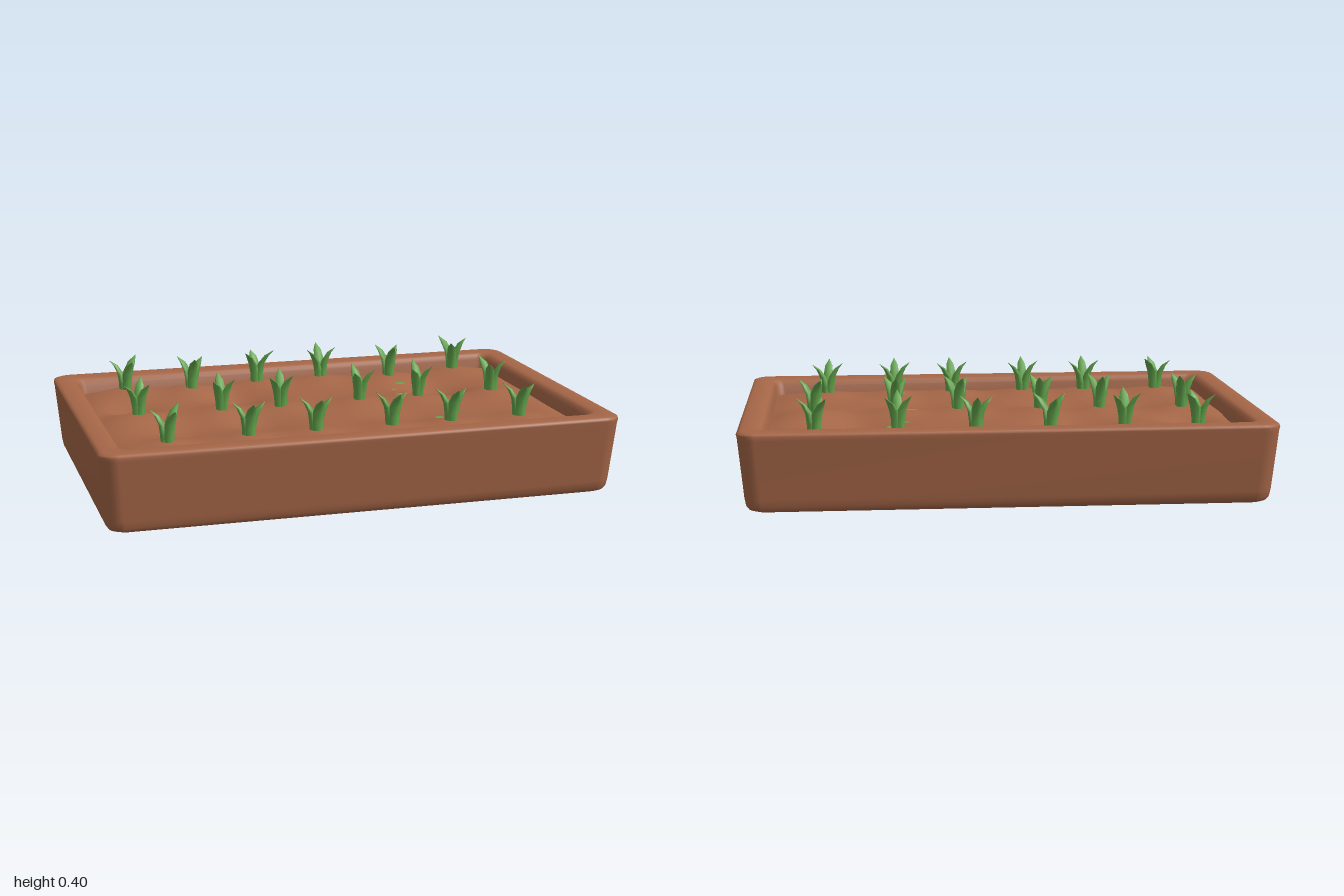
import * as THREE from 'three';

const clay = new THREE.MeshStandardMaterial({ color: 0xa56647 });
clay.name = 'terracotta';
const green = new THREE.MeshStandardMaterial({ color: 0x63a54c, side: THREE.DoubleSide });
green.name = 'leafGreen';

// Skin a list of closed rings (arrays of [x, y, z]) into one smooth surface
function loft(rings) {
  const n = rings[0].length;
  const index = [];
  for (let r = 0; r < rings.length - 1; r++) {
    for (let i = 0; i < n; i++) {
      const a = r * n + i, b = r * n + (i + 1) % n;
      index.push(a, a + n, b, b, a + n, b + n);
    }
  }
  const g = new THREE.BufferGeometry();
  g.setAttribute('position', new THREE.Float32BufferAttribute(rings.flat(2), 3));
  g.setIndex(index);
  g.computeVertexNormals();
  return g;
}

// Rounded rectangle ring at height y
function roundedRing([hx, hz, y, radius]) {
  const steps = 6, ring = [];
  [[1, 1], [-1, 1], [-1, -1], [1, -1]].forEach(([sx, sz], corner) => {
    for (let i = 0; i <= steps; i++) {
      const a = (corner + i / steps) * Math.PI / 2;
      ring.push([sx * (hx - radius) + radius * Math.cos(a), y, sz * (hz - radius) + radius * Math.sin(a)]);
    }
  });
  return ring;
}

// Three rows of seedlings: x, z, heading of the first leaf, angle from it to the others (degrees)
const seedlings = [
  [-0.72, -0.455, -45, 118], [-0.45, -0.415, 90, 125], [-0.16, -0.465, 25, 125],
  [0.12, -0.465, -90, 105], [0.41, -0.41, 90, 130], [0.72, -0.465, -125, 120],
  [-0.74, -0.035, -72, 130], [-0.41, -0.025, -90, 138], [-0.17, -0.025, -80, 135],
  [0.16, -0.025, -100, 135], [0.41, -0.025, -90, 138], [0.73, -0.035, -112, 130],
  [-0.71, 0.405, -45, 118], [-0.4, 0.395, 90, 102], [-0.14, 0.395, 90, 102],
  [0.16, 0.395, 85, 102], [0.4, 0.395, 90, 102], [0.68, 0.395, 95, 102],
];

// Soil height: low mounds under the seedlings, hollows between, a shallow dip along the walls
const bumps = [
  ...seedlings.map(([x, z]) => [x, z, 0.024, 0.11]),
  [-0.28, -0.3, -0.045, 0.12], [0.56, -0.24, -0.045, 0.13], [-0.74, -0.2, -0.035, 0.1],
  [-0.28, 0.12, -0.03, 0.13], [0.3, 0.2, -0.015, 0.14], [-0.6, 0.18, -0.025, 0.12],
];
function soilHeight(x, z) {
  let y = 0.25;
  for (const [bx, bz, height, r] of bumps) {
    y += height * Math.exp(-((x - bx) ** 2 + (z - bz) ** 2) / (r * r));
  }
  const toWall = Math.min(0.9 - Math.abs(x), 0.545 - Math.abs(z));
  return y - 0.012 * Math.max(0, 1 - toWall / 0.06);
}

// One pointed blade rising from the stem and curling outward along +x
function leafGeometry(reach, height) {
  const sections = [ // outward, up, half width, half thickness
    [0.006, 0, 0.02, 0.02], [0.01, 0.45, 0.02, 0.018], [0.02, 0.68, 0.022, 0.013],
    [0.6 * reach, 0.87, 0.017, 0.009], [reach, 1, 0.001, 0.001],
  ];
  return loft(sections.map(([out, up, w, t]) => Array.from({ length: 6 }, (_, i) => {
    const a = i / 6 * Math.PI * 2;
    return [out + t * Math.cos(a), up * height, w * Math.sin(a)];
  })));
}

export function createModel() {
  const model = new THREE.Group();
  model.name = 'seedlingTray';
  const add = (geometry, material, name, parent = model) => {
    const mesh = new THREE.Mesh(geometry, material);
    mesh.name = name;
    parent.add(mesh);
    return mesh;
  };

  // Tapered tray: underside, outer wall, rim and inner wall
  const profile = [ // half x, half z, y, corner radius
    [0, 0, 0, 0], [0.91, 0.57, 0, 0.04], [0.945, 0.602, 0.001, 0.05], [0.962, 0.617, 0.008, 0.055],
    [0.972, 0.626, 0.022, 0.06], [0.977, 0.631, 0.05, 0.062], [0.997, 0.654, 0.275, 0.066],
    [1, 0.657, 0.29, 0.066], [0.997, 0.654, 0.298, 0.065], [0.985, 0.642, 0.303, 0.06],
    [0.96, 0.616, 0.304, 0.055], [0.93, 0.58, 0.302, 0.045], [0.915, 0.562, 0.295, 0.04],
    [0.903, 0.55, 0.278, 0.035], [0.893, 0.538, 0.21, 0.035],
  ];
  add(loft(profile.map(roundedRing)), clay, 'tray');

  // Uneven soil surface
  const soil = new THREE.PlaneGeometry(1.81, 1.1, 56, 34).rotateX(-Math.PI / 2);
  const p = soil.attributes.position;
  for (let i = 0; i < p.count; i++) p.setY(i, soilHeight(p.getX(i), p.getZ(i)));
  soil.computeVertexNormals();
  add(soil, clay, 'soil');

  // Seedlings, three leaves each
  const base = 0.22;
  const leaves = [
    [0, leafGeometry(0.074, 0.182)], [1, leafGeometry(0.064, 0.176)], [-1, leafGeometry(0.064, 0.17)],
  ];
  for (const [x, z, heading, spread] of seedlings) {
    const seedling = new THREE.Group();
    seedling.name = 'seedling';
    seedling.position.set(x, base, z);
    for (const [side, geometry] of leaves) {
      const leaf = add(geometry, green, 'leaf', seedling);
      leaf.rotation.y = -THREE.MathUtils.degToRad(heading + side * spread);
    }
    model.add(seedling);
  }

  // Small green flecks lying on the soil: x, z, radius x, radius z
  const flecks = [
    [0.43, -0.31, 0.022, 0.02], [0.51, -0.3, 0.022, 0.02], [0.37, -0.21, 0.012, 0.012],
    [0.35, -0.05, 0.03, 0.012], [0.37, 0.345, 0.018, 0.016],
  ];
  for (const [x, z, rx, rz] of flecks) {
    const fleck = add(new THREE.CircleGeometry(1, 12).rotateX(-Math.PI / 2), green, 'fleck');
    fleck.scale.set(rx, 1, rz);
    fleck.position.set(x, soilHeight(x, z) + 0.006, z);
  }
  return model;
}
